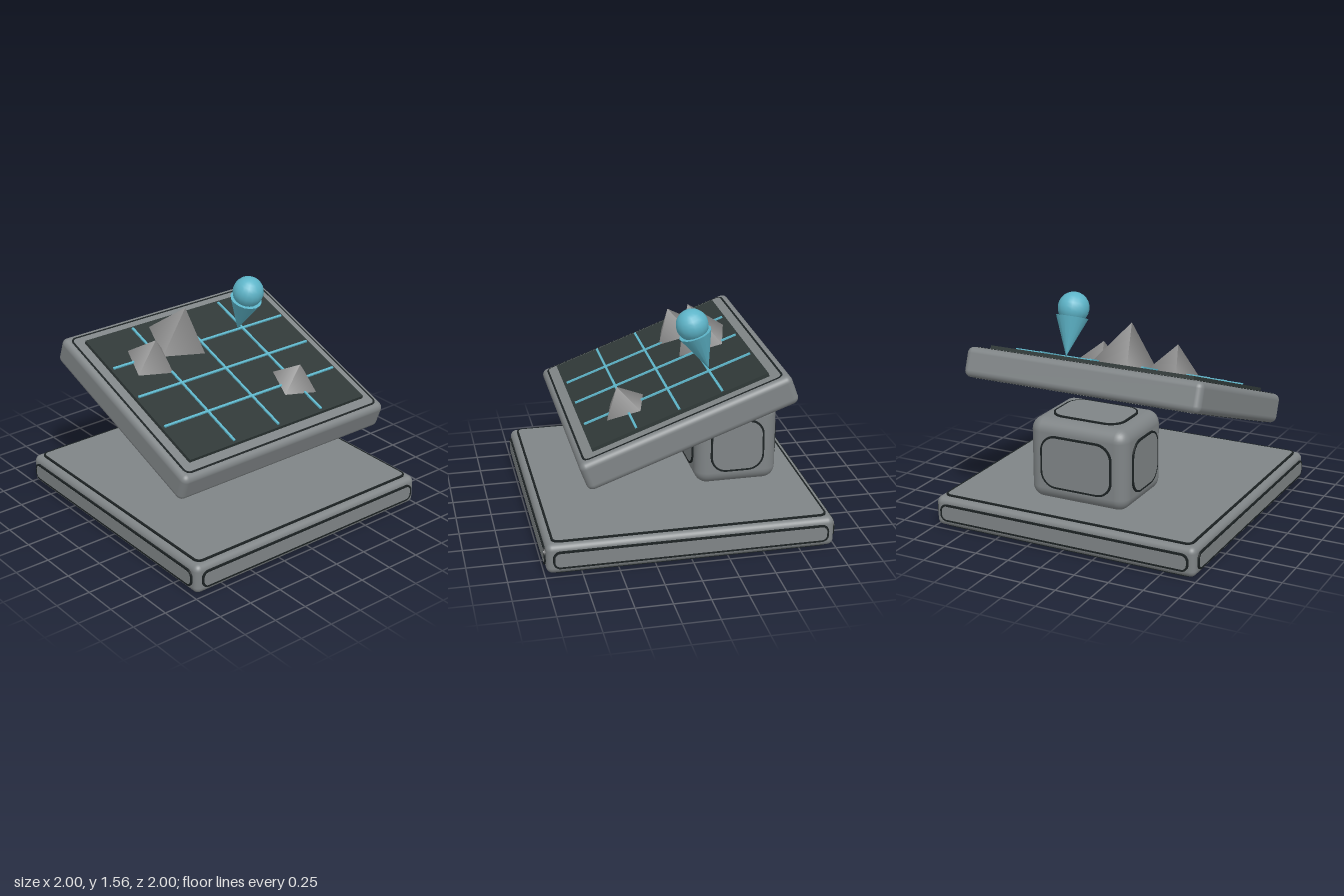
import * as THREE from 'three';
import { RoundedBoxGeometry } from 'three/addons/geometries/RoundedBoxGeometry.js';

const material = (name, color) => {
  const m = new THREE.MeshStandardMaterial({ color });
  m.name = name;
  return m;
};

export function createModel() {
  const casing = material('casing grey', 0x7f8486);
  const rock = material('rock grey', 0x848484);
  const trim = material('dark trim', 0x1c2223);
  const glass = material('dark screen', 0x2f3837);
  const teal = material('teal', 0x5db4c8);

  const mesh = (parent, name, geometry, mat, x = 0, y = 0, z = 0) => {
    const m = new THREE.Mesh(geometry, mat);
    m.name = name;
    m.position.set(x, y, z);
    parent.add(m);
    return m;
  };

  // Thin plate with rounded corners, growing along +z
  const plate = (w, h, r, depth) => {
    const s = new THREE.Shape();
    const x = w / 2, y = h / 2;
    r = Math.min(r, x, y);
    s.absarc(x - r, y - r, r, 0, Math.PI / 2);
    s.absarc(-x + r, y - r, r, Math.PI / 2, Math.PI);
    s.absarc(-x + r, -y + r, r, Math.PI, Math.PI * 1.5);
    s.absarc(x - r, -y + r, r, Math.PI * 1.5, Math.PI * 2);
    s.closePath();
    return new THREE.ExtrudeGeometry(s, { depth, bevelEnabled: false, curveSegments: 6 });
  };

  // Rounded block with a dark-edged raised panel on each listed face
  const block = (name, w, h, d, r, inset, lift, faces) => {
    const g = new THREE.Group();
    g.name = name;
    mesh(g, name + 'Body', new RoundedBoxGeometry(w, h, d, 4, r), casing);
    const H = Math.PI / 2;
    const table = {
      front: [w, h, d, 0, 0], back: [w, h, d, 0, Math.PI],
      left: [d, h, w, 0, H], right: [d, h, w, 0, -H],
      top: [w, d, h, -H, 0], bottom: [w, d, h, H, 0],
    };
    for (const face of faces) {
      const [pw, ph, dist, rx, ry] = table[face];
      const side = new THREE.Group();
      side.name = face + 'Panel';
      side.rotation.set(rx, ry, 0);
      g.add(side);
      const a = pw - 2 * inset, b = ph - 2 * inset, e = 0.014;
      const z = dist / 2 - 0.004;
      mesh(side, 'panelTrim', plate(a, b, inset * 1.15, lift + 0.003), trim, 0, 0, z);
      mesh(side, 'panelFace', plate(a - 2 * e, b - 2 * e, inset * 1.15 - e, lift + 0.004), casing, 0, 0, z);
    }
    return g;
  };

  const model = new THREE.Group();
  model.name = 'mapTable';
  const all = ['front', 'back', 'left', 'right', 'top', 'bottom'];

  // Base and pedestal
  const base = block('base', 1.976, 0.212, 1.976, 0.045, 0.043, 0.012, all);
  base.position.y = 0.118;
  const pedestal = block('pedestal', 0.74, 0.58, 0.585, 0.09, 0.1, 0.012, all);
  pedestal.position.set(0, 0.54, -0.46);

  // Tilted display; everything on it lies in its local frame
  const display = block('display', 1.78, 0.21, 1.515, 0.045, 0.042, 0.003, ['top', 'bottom']);
  display.position.y = 0.89;
  display.rotation.x = THREE.MathUtils.degToRad(20);
  model.add(base, pedestal, display);

  const top = 0.133;
  mesh(display, 'screen', new THREE.BoxGeometry(1.54, 0.04, 1.27), glass, 0, top - 0.02, 0);

  // Grid lines
  for (const i of [-1, 0, 1]) {
    mesh(display, 'gridLineLong', new THREE.BoxGeometry(1.5, 0.012, 0.016), teal, 0, top + 0.005, i * 0.309);
    mesh(display, 'gridLineCross', new THREE.BoxGeometry(0.016, 0.012, 1.23), teal, i * 0.385, top + 0.005, 0);
  }

  // Four-sided peaks
  for (const [x, z, r, h] of [[-0.465, -0.27, 0.18, 0.2], [-0.152, -0.388, 0.225, 0.3], [0.385, 0.314, 0.17, 0.165]]) {
    mesh(display, 'mountain', new THREE.ConeGeometry(r, h, 4), rock, x, top + h / 2, z).rotation.y = 0.5;
  }

  // Marker pin: inverted cone under a ball
  const pin = new THREE.Group();
  pin.name = 'markerPin';
  pin.position.set(0.345, top + 0.005, -0.317);
  display.add(pin);
  mesh(pin, 'pinPoint', new THREE.ConeGeometry(0.115, 0.28, 16), teal, 0, 0.14, 0).rotation.x = Math.PI;
  mesh(pin, 'pinBall', new THREE.SphereGeometry(0.112, 16, 12), teal, 0, 0.345, 0);

  return model;
}
